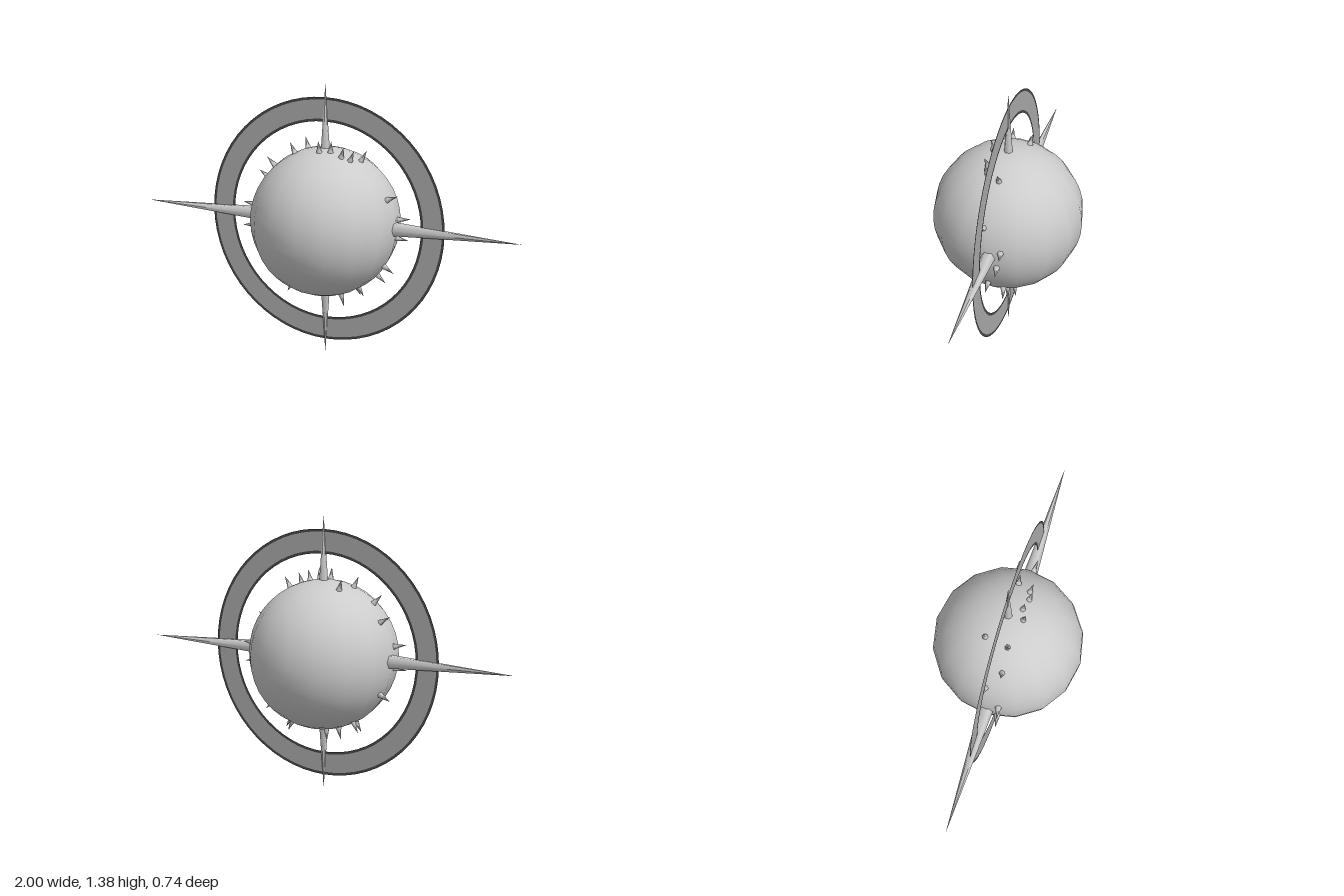
import * as THREE from 'three';

const CENTER_Y = 0.69;
const RADIUS = 0.372;

export function createModel() {
  const model = new THREE.Group();
  const hub = new THREE.Group();
  hub.name = 'spikedOrb';
  hub.position.y = CENTER_Y;
  model.add(hub);

  const shell = new THREE.MeshStandardMaterial({ color: 0xcccccc });
  shell.name = 'light grey';
  const band = new THREE.MeshStandardMaterial({ color: 0xaaaaaa, side: THREE.DoubleSide });
  band.name = 'mid grey';
  const rim = new THREE.MeshStandardMaterial({ color: 0x484848, side: THREE.DoubleSide });
  rim.name = 'dark grey';

  const add = (name, geometry, material) => {
    const mesh = new THREE.Mesh(geometry, material);
    mesh.name = name;
    hub.add(mesh);
    return mesh;
  };

  // Central ball
  add('ball', new THREE.SphereGeometry(RADIUS, 16, 20), shell);

  // Cone pointing outwards along dir, from distance start to distance end
  const up = new THREE.Vector3(0, 1, 0);
  const spike = (name, dir, start, end, radius) => {
    const mesh = add(name, new THREE.ConeGeometry(radius, end - start, 6), shell);
    mesh.quaternion.setFromUnitVectors(up, dir);
    mesh.position.copy(dir).multiplyScalar((start + end) / 2);
  };

  // Four long spikes
  for (const s of [1, -1]) {
    spike('sideSpike', new THREE.Vector3(s, 0, 0), 0.33, 1, 0.037);
    spike('verticalSpike', new THREE.Vector3(0, s, 0), 0.33, 0.69, 0.024);
  }

  // Small thorns scattered round the ball: [angle in the xy plane, z]
  const thorns = [
    [24, 0.03], [5, -0.065], [-9, -0.045], [-31, 0.015], [-45, -0.05],
    [-64, -0.045], [-68, -0.075], [-71, 0.08], [60, -0.005], [65, 0.065],
    [72, 0.075], [82, 0.06], [90, 0.08], [110, -0.08], [113, 0.045],
    [133, 0.05], [149, -0.015], [170, 0.065], [187, 0.06], [206, -0.04],
    [238, -0.06], [243, 0.03], [252, -0.06], [262, -0.07],
  ];
  for (const [deg, z] of thorns) {
    const a = THREE.MathUtils.degToRad(deg);
    const dz = z / 0.4;
    const flat = Math.sqrt(1 - dz * dz);
    const dir = new THREE.Vector3(Math.cos(a) * flat, Math.sin(a) * flat, dz);
    spike('thorn', dir, 0.36, 0.43, 0.017);
  }

  // Flat ring with dark inner and outer rims
  add('ring', new THREE.RingGeometry(0.513, 0.607, 64), band);
  add('innerRim', new THREE.RingGeometry(0.5, 0.513, 64), rim);
  add('outerRim', new THREE.RingGeometry(0.607, 0.62, 64), rim);

  return model;
}
